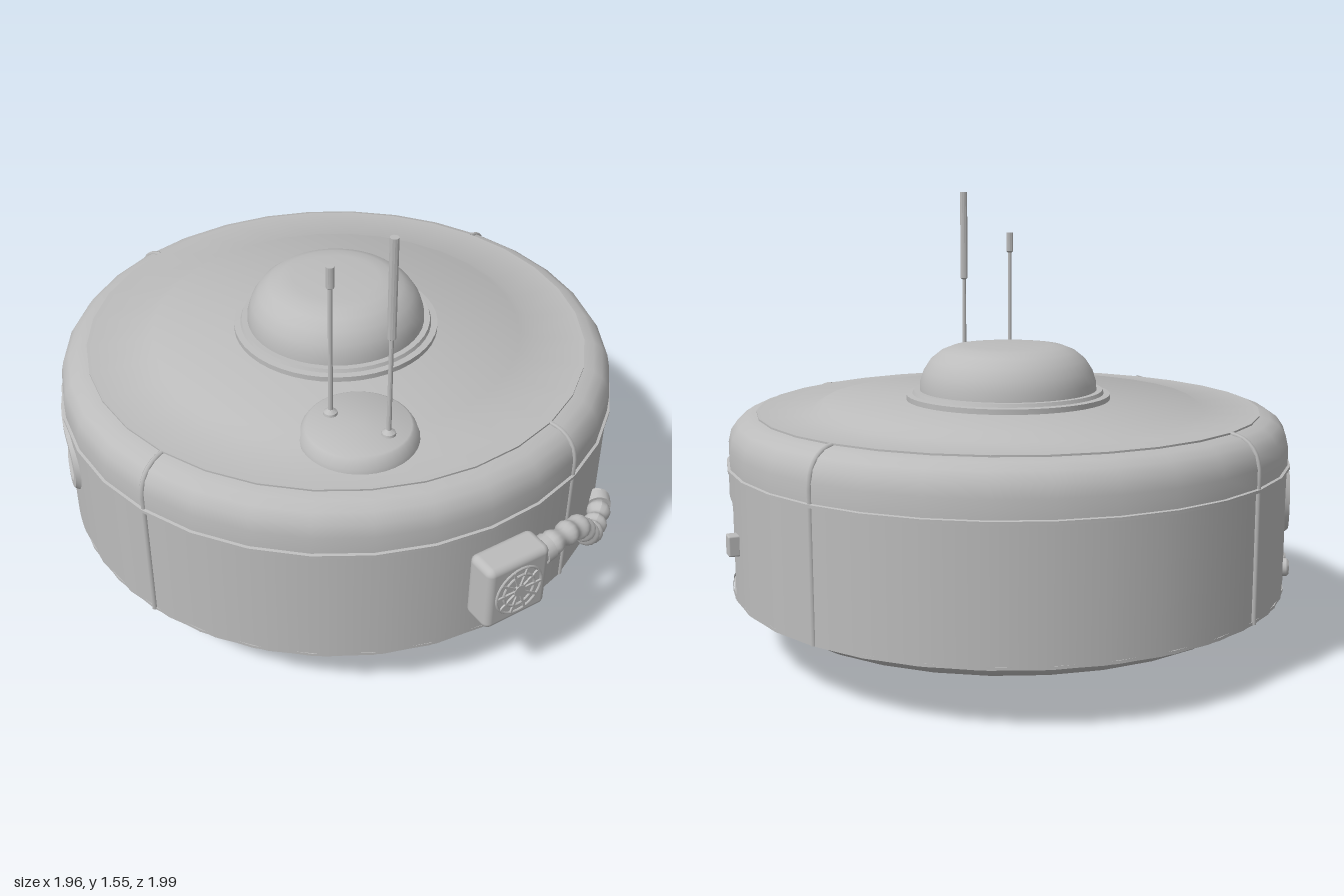
import * as THREE from 'three';
import { toCreasedNormals } from 'three/addons/utils/BufferGeometryUtils.js';
import { RoundedBoxGeometry } from 'three/addons/geometries/RoundedBoxGeometry.js';
import { ParametricGeometry } from 'three/addons/geometries/ParametricGeometry.js';

const SEG = 32, R = 0.967;
const grey = new THREE.MeshStandardMaterial({ color: 0xbcbcbc, side: THREE.DoubleSide });
grey.name = 'plain grey';

function add(parent, name, geometry, x = 0, y = 0, z = 0) {
  const mesh = new THREE.Mesh(geometry, grey);
  mesh.name = name;
  mesh.position.set(x, y, z);
  parent.add(mesh);
  return mesh;
}
// Revolve [radius, height] pairs, keeping strong edges sharp
function lathe(pairs, seg = SEG) {
  return toCreasedNormals(new THREE.LatheGeometry(pairs.map(p => new THREE.Vector2(...p)), seg), 0.6);
}
const onWall = (t, a, y, r = R) => t.set(r * Math.sin(a), y, r * Math.cos(a));
// Curved wall panel between two angles; lo and hi give its edges along the angle
function panel(a0, a1, n, lo, hi) {
  return new ParametricGeometry((u, v, t) => {
    const a = a0 + (a1 - a0) * u;
    onWall(t, a, lo(a) + (hi(a) - lo(a)) * v);
  }, n, 1);
}

function buildHull(hull) {
  add(hull, 'lowerHull', lathe([[0, 0.2], [0.2, 0.2], [0.24, 0.16], [0.325, 0.14], [0.345, 0.08], [0.49, 0.08],
    [0.535, 0.09], [0.562, 0.115], [0.57, 0.14], [0.82, 0.14], [0.86, 0.152], [0.9, 0.185], [0.92, 0.21],
    [R, 0.21], [R, 0.22], [0, 0.22]]));
  const shoulder = [[R, 0.645], [R, 0.71], [0.957, 0.752], [0.935, 0.783], [0.905, 0.802], [0.87, 0.809]];
  add(hull, 'shoulder', lathe(shoulder));
  add(hull, 'topDeck', lathe([[0.87, 0.805], [0.87, 0.815], [0.685, 0.815], [0.645, 0.84], [0, 0.84]]));
  add(hull, 'beltRing', lathe([[R, 0.636], [0.976, 0.638], [0.976, 0.648], [R, 0.65]]));

  // Side wall with a doorway on the left and a slot window on the right
  const doorA = Math.PI / 2, slotA = -Math.PI / 2, dh = 0.225, sl = 0.205, sr = 0.075, sy = 0.495;
  const sh = (sl + sr) / R;
  const bottom = () => 0.21, top = () => 0.645;
  add(hull, 'frontWall', panel(slotA + sh, doorA - dh, 14, bottom, top));
  add(hull, 'backWall', panel(doorA + dh, slotA + 2 * Math.PI - sh, 14, bottom, top));
  add(hull, 'doorSill', panel(doorA - dh, doorA + dh, 4, bottom, () => 0.23));
  const doorTop = a => {
    const k = Math.max(0, Math.abs(a - doorA) * R - dh * R + 0.025);
    return 0.52 + Math.sqrt(Math.max(0, 0.025 ** 2 - k * k));
  };
  add(hull, 'doorLintel', panel(doorA - dh, doorA + dh, 40, doorTop, top));
  const slotHalf = a => {
    const k = Math.max(0, Math.abs(a - slotA) * R - sl);
    return Math.sqrt(Math.max(0, sr * sr - k * k));
  };
  add(hull, 'wallBelowSlot', panel(slotA - sh, slotA + sh, 36, bottom, a => sy - slotHalf(a)));
  add(hull, 'wallAboveSlot', panel(slotA - sh, slotA + sh, 36, a => sy + slotHalf(a), top));

  // Slot frame: a small [offset, radius] section swept round the opening
  const path = new THREE.Path();
  path.absarc(sl, 0, sr, -Math.PI / 2, Math.PI / 2).absarc(-sl, 0, sr, Math.PI / 2, Math.PI * 1.5).closePath();
  const section = [[0, 0.925], [0, 0.972], [0.01, 0.98], [0.035, 0.98], [0.048, 0.962]];
  add(hull, 'slotFrame', toCreasedNormals(new ParametricGeometry((u, v, t) => {
    const p = path.getPointAt(Math.min(1, Math.max(0, u)));
    const c = THREE.MathUtils.clamp(p.x, -sl, sl);
    const k = THREE.MathUtils.clamp(Math.round(v * 4), 0, 4);
    const [d, r] = section[k];
    onWall(t, slotA + (p.x + (p.x - c) / sr * d) / R, sy + p.y * (1 + d / sr), r);
  }, 72, 4), 0.6));

  // Raised seams at the four diagonals
  for (let i = 0; i < 4; i++) {
    const a = Math.PI / 4 + i * Math.PI / 2;
    const pts = [[R, 0.212], [R, 0.4], ...shoulder].map(([r, y]) => onWall(new THREE.Vector3(), a, y, r - 0.002));
    add(hull, 'seam', new THREE.TubeGeometry(new THREE.CatmullRomCurve3(pts), 30, 0.009, 6));
  }

  // Door latch box and the two round knobs
  const latch = add(hull, 'latch', new RoundedBoxGeometry(0.05, 0.07, 0.04, 2, 0.006));
  onWall(latch.position, doorA + 0.27, 0.415, 0.978);
  latch.rotation.y = doorA + 0.27;
  for (const [a, r] of [[-0.31, 0.031], [-0.19, 0.022]]) {
    const knob = add(hull, 'knob', lathe([[r, -0.02], [r, 0.01], [r * 0.75, 0.018], [0, 0.02]], 16).rotateX(Math.PI / 2));
    onWall(knob.position, slotA + a, 0.272, 0.967);
    knob.rotation.y = slotA + a;
  }

  // Dome on its stepped ring
  add(hull, 'domeRing', lathe([[0.357, 0.84], [0.357, 0.858], [0.335, 0.86], [0.33, 0.872], [0.3, 0.872]], 48));
  add(hull, 'dome', lathe([[0.31, 0.868], [0.308, 0.9], [0.295, 0.94], [0.27, 0.978], [0.235, 1.006],
    [0.195, 1.022], [0.15, 1.027], [0, 1.029]], 48));

  // Ribbed coupling under the hull
  add(hull, 'coupling', lathe([[0, 0.05], [0.11, 0.05], [0.115, 0.02], [0.135, 0.02], [0.137, 0.042], [0.12, 0.046],
    [0.118, 0.056], [0.128, 0.06], [0.128, 0.072], [0.11, 0.078], [0.1, 0.2]]));
  for (let i = 0; i < 3; i++) {
    const a = i * Math.PI * 2 / 3;
    add(hull, 'prong', new THREE.CylinderGeometry(0.009, 0.009, 0.055, 8), 0.025 * Math.sin(a), 0.028, 0.025 * Math.cos(a));
    const web = add(hull, 'prongWeb', new THREE.BoxGeometry(0.012, 0.03, 0.06), 0.03 * Math.sin(a), 0.035, 0.03 * Math.cos(a));
    web.rotation.y = a;
  }
}

function buildAntennas(group) {
  add(group, 'antennaBase', lathe([[0.193, 0.812], [0.19, 0.83], [0.172, 0.858], [0.165, 0.862], [0, 0.862]], 40), 0, 0, 0.59);
  for (const [x, z, mid, top, r] of [[0.083, 0.655, 1.21, 1.552, 0.014], [-0.083, 0.53, 1.32, 1.397, 0.013]]) {
    add(group, 'antenna', lathe([[0.024, 0.86], [0.022, 0.87], [0.008, 0.88], [0.007, mid], [r, mid + 0.006],
      [r, top], [0, top]], 12), x, 0, z);
  }
}

function buildBlower(blower) {
  const box = new THREE.Group();
  box.name = 'fanBox';
  box.position.set(0.43, 0.447, 0.9);
  box.rotation.y = 0.44;
  blower.add(box);
  add(box, 'housing', new RoundedBoxGeometry(0.24, 0.245, 0.11, 4, 0.025));
  add(box, 'mount', new THREE.BoxGeometry(0.2, 0.2, 0.08), 0, 0, -0.06);
  // Fan grille: rings, hub and slanted blades
  for (const r of [0.088, 0.06]) add(box, 'grilleRing', new THREE.TorusGeometry(r, 0.005, 6, 32), 0, 0, 0.056);
  add(box, 'hub', new THREE.CylinderGeometry(0.022, 0.022, 0.014, 16).rotateX(Math.PI / 2), 0, 0, 0.056);
  for (let i = 0; i < 10; i++) {
    const blade = add(box, 'fanBlade', new THREE.BoxGeometry(0.07, 0.008, 0.01).translate(0.053, 0, 0), 0, 0, 0.056);
    blade.rotation.z = i * Math.PI / 5;
  }
  // Ribbed hose bending along the wall
  const curve = new THREE.CatmullRomCurve3([[0.53, 0.5, 0.855], [0.62, 0.51, 0.8], [0.7, 0.485, 0.735], [0.74, 0.425, 0.69],
    [0.775, 0.365, 0.645], [0.82, 0.33, 0.57], [0.86, 0.327, 0.49], [0.872, 0.335, 0.43]].map(p => new THREE.Vector3(...p)));
  const n = 90, sides = 14, hose = new THREE.TubeGeometry(curve, n, 0.036, sides);
  const pos = hose.attributes.position, nor = hose.attributes.normal;
  for (let i = 0; i < pos.count; i++) {
    const bulge = 0.006 * Math.cos(Math.floor(i / (sides + 1)) / n * Math.PI * 18);
    pos.setXYZ(i, pos.getX(i) + nor.getX(i) * bulge, pos.getY(i) + nor.getY(i) * bulge, pos.getZ(i) + nor.getZ(i) * bulge);
  }
  hose.computeVertexNormals();
  add(blower, 'hose', hose);
  // Collars at both ends of the hose
  for (const [t, r] of [[0.05, 0.045], [0.96, 0.043]]) {
    const collar = add(blower, 'hoseCollar', new THREE.CylinderGeometry(r, r, 0.035, 16));
    collar.position.copy(curve.getPointAt(t));
    collar.quaternion.setFromUnitVectors(new THREE.Vector3(0, 1, 0), curve.getTangentAt(t));
  }
  const tip = add(blower, 'hoseTip', new THREE.CylinderGeometry(0.026, 0.03, 0.03, 16));
  tip.position.copy(curve.getPointAt(1));
  tip.quaternion.setFromUnitVectors(new THREE.Vector3(0, 1, 0), curve.getTangentAt(1));
}

export function createModel() {
  const model = new THREE.Group();
  model.name = 'roundPod';
  const parts = { hull: buildHull, antennas: buildAntennas, blower: buildBlower };
  for (const [name, build] of Object.entries(parts)) {
    const group = new THREE.Group();
    group.name = name;
    build(group);
    model.add(group);
  }
  model.getObjectByName('hull').position.z = -0.02;
  return model;
}
